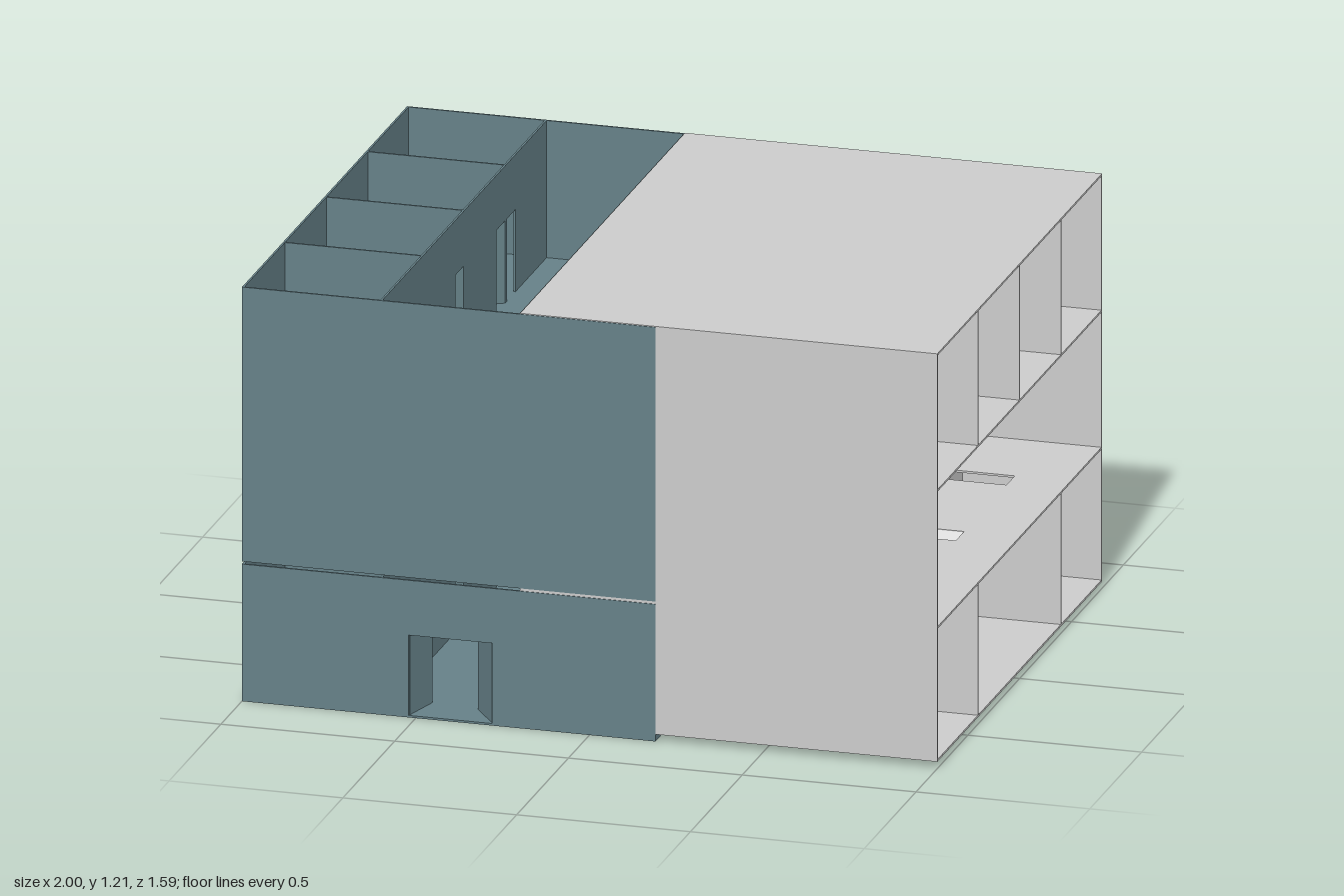
import * as THREE from 'three';

const T = 0.006;            // wall thickness
const X0 = -1, X1 = 0.19;   // plan extents along x
const CORRIDOR = [-0.6, -0.2];
const DOOR_W = 0.08, DOOR_H = 0.24;

// Interior doors: [hinge z, direction of opening along z]
const CELL_DOORS = [[0.41, 1], [0.01, 1], [-0.39, 1], [-0.41, -1]];
const ROOM_DOORS = [[0.41, 1], [0, 1], [-0.41, -1]];

function box(group, name, mat, x0, x1, y0, y1, z0, z1) {
  const mesh = new THREE.Mesh(new THREE.BoxGeometry(x1 - x0, y1 - y0, z1 - z0), mat);
  mesh.position.set((x0 + x1) / 2, (y0 + y1) / 2, (z0 + z1) / 2);
  mesh.name = name;
  group.add(mesh);
  return mesh;
}

// Upright wall from u0 to u1 with door notches cut from its bottom edge
function wallGeometry(u0, u1, h, doors) {
  const s = new THREE.Shape();
  s.moveTo(u0, 0);
  for (const [a, b] of [...doors].sort((p, q) => p[0] - q[0])) {
    s.lineTo(a, 0);
    s.lineTo(a, DOOR_H);
    s.lineTo(b, DOOR_H);
    s.lineTo(b, 0);
  }
  s.lineTo(u1, 0);
  s.lineTo(u1, h);
  s.lineTo(u0, h);
  s.closePath();
  return new THREE.ExtrudeGeometry(s, { depth: T, bevelEnabled: false }).translate(0, 0, -T / 2);
}

function wallAlongX(group, name, mat, z, y, h, doors) {
  const mesh = new THREE.Mesh(wallGeometry(X0, X1, h, doors), mat);
  mesh.position.set(0, y, z);
  mesh.name = name;
  group.add(mesh);
}

function wallAlongZ(group, name, mat, x, y, h, halfZ, doors) {
  const mesh = new THREE.Mesh(wallGeometry(-halfZ, halfZ, h, doors).rotateY(-Math.PI / 2), mat);
  mesh.position.set(x, y, 0);
  mesh.name = name;
  group.add(mesh);
}

// Door leaf hinged at (x, z), swung out towards (x + dx, z + dz)
function doorLeaf(group, mat, x, y, z, dx, dz) {
  const leaf = new THREE.Mesh(new THREE.BoxGeometry(Math.hypot(dx, dz), DOOR_H, 0.003), mat);
  leaf.position.set(x + dx / 2, y + DOOR_H / 2, z + dz / 2);
  leaf.rotation.y = Math.atan2(-dz, dx);
  leaf.name = 'doorLeaf';
  group.add(leaf);
}

// Cells on one side, corridor in the middle, three rooms on the other side
function partitions(group, mat, y, h, halfZ) {
  const openings = (doors) => doors.map(([z, s]) => (s > 0 ? [z, z + DOOR_W] : [z - DOOR_W, z]));
  wallAlongZ(group, 'cellCorridorWall', mat, CORRIDOR[0], y, h, halfZ, openings(CELL_DOORS));
  wallAlongZ(group, 'roomCorridorWall', mat, CORRIDOR[1], y, h, halfZ, openings(ROOM_DOORS));
  for (const z of [-0.4, 0, 0.4])
    box(group, 'cellDivider', mat, X0, CORRIDOR[0], y, y + h, z - T / 2, z + T / 2);
  for (const z of [-0.4, 0.4])
    box(group, 'roomDivider', mat, CORRIDOR[1], X1, y, y + h, z - T / 2, z + T / 2);
  for (const [z, s] of CELL_DOORS) doorLeaf(group, mat, CORRIDOR[0], y, z, -0.07, s * 0.04);
  for (const [z, s] of ROOM_DOORS) doorLeaf(group, mat, CORRIDOR[1], y, z, 0.06, s * 0.035);
}

// Outer walls and bottom slab; entrances are optional
function shell(group, mat, y, h, halfZ, entrances) {
  box(group, 'bottomSlab', mat, X0, X1, y, y + T, -halfZ, halfZ);
  box(group, 'cellSideWall', mat, X0, X0 + T, y, y + h, -halfZ, halfZ);
  box(group, 'roomSideWall', mat, X1 - T, X1, y, y + h, -halfZ, halfZ);
  wallAlongX(group, 'frontWall', mat, halfZ - T / 2, y, h, entrances);
  wallAlongX(group, 'backWall', mat, -halfZ + T / 2, y, h, entrances);
}

// Open-topped block whose uppermost storey is fitted out
function openBlock(name, mat, y, h, halfZ) {
  const g = new THREE.Group();
  g.name = name;
  shell(g, mat, y, h, halfZ, []);
  const floorY = y + h - 0.4;
  box(g, 'storeyFloor', mat, X0, X1, floorY - T, floorY, -halfZ + T, halfZ - T);
  partitions(g, mat, floorY, 0.4, halfZ - T);
  return g;
}

export function createModel() {
  const model = new THREE.Group();
  model.name = 'buildingBlocks';
  const teal = new THREE.MeshStandardMaterial({ color: 0x658087 });
  const grey = new THREE.MeshStandardMaterial({ color: 0xcccccc });

  // Ground storey with entrances at both ends of the corridor
  const ground = new THREE.Group();
  ground.name = 'groundStorey';
  const halfZ = 0.797;
  shell(ground, teal, 0, 0.4, halfZ, [[-0.52, -0.28]]);
  partitions(ground, teal, T, 0.4 - T, halfZ - T);
  for (const s of [1, -1]) {
    doorLeaf(ground, teal, -0.52, T, s * (halfZ - T), 0.03, -s * 0.116);
    doorLeaf(ground, teal, -0.28, T, s * (halfZ - T), -0.07, -s * 0.097);
  }
  box(ground, 'sidePanel', grey, X0 - 0.001, X0 + T, 0, 0.4, -0.4, 0);
  model.add(ground);

  // Upper block, open at the top
  model.add(openBlock('upperBlock', teal, 0.408, 0.8, halfZ));

  // Same layout tipped on its side, open towards +x
  const tipped = openBlock('tippedBlock', grey, 0, 1.2, 0.795);
  tipped.rotation.z = -Math.PI / 2;
  tipped.position.set(-0.2, 0.21, 0);
  model.add(tipped);

  return model;
}
